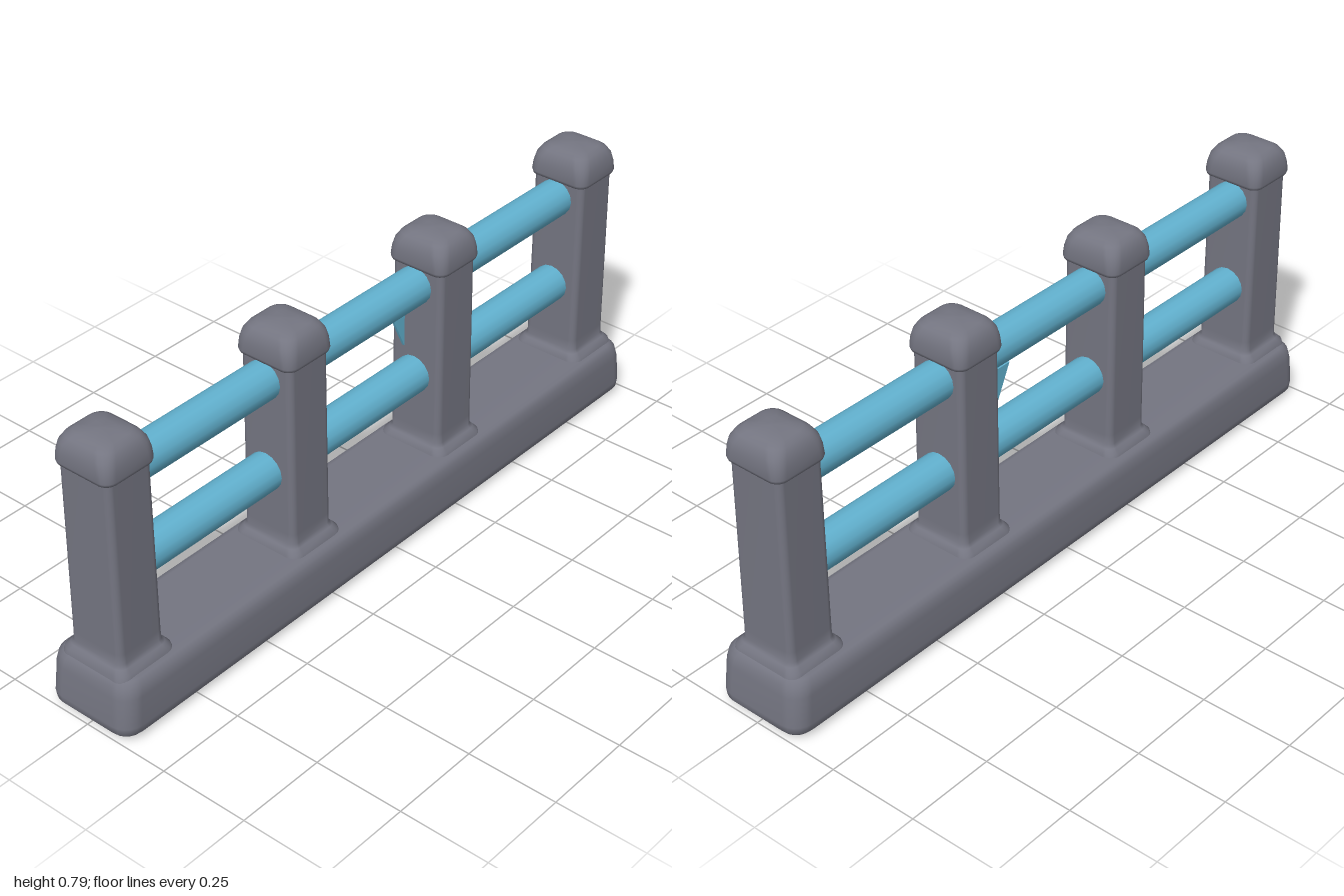
import * as THREE from 'three';

// Smooth loft through rounded rectangles; each ring is [y, halfX, halfZ, cornerRadius]
function loft(rings, cornerSteps = 5) {
  const pos = [], index = [];
  const n = 4 * (cornerSteps + 1);
  for (const [y, hx, hz, r] of rings) {
    for (let q = 0; q < 4; q++) {
      const sx = q === 0 || q === 3 ? 1 : -1;
      const sz = q < 2 ? 1 : -1;
      for (let i = 0; i <= cornerSteps; i++) {
        const a = (q + i / cornerSteps) * Math.PI / 2;
        pos.push(sx * (hx - r) + r * Math.cos(a), y, sz * (hz - r) + r * Math.sin(a));
      }
    }
  }
  for (let k = 0; k < rings.length - 1; k++) {
    for (let i = 0; i < n; i++) {
      const a = k * n + i, b = k * n + (i + 1) % n;
      index.push(a, a + n, b, b, a + n, b + n);
    }
  }
  const geo = new THREE.BufferGeometry();
  geo.setAttribute('position', new THREE.Float32BufferAttribute(pos, 3));
  geo.setIndex(index);
  geo.computeVertexNormals();
  return geo;
}

export function createModel() {
  const stone = new THREE.MeshStandardMaterial({ color: 0x747581 });
  stone.name = 'grey stone';
  const blue = new THREE.MeshStandardMaterial({ color: 0x62b2d0 });
  blue.name = 'blue rail';

  const model = new THREE.Group();
  model.name = 'fence';
  const add = (parent, name, geo, mat) => {
    const mesh = new THREE.Mesh(geo, mat);
    mesh.name = name;
    parent.add(mesh);
    return mesh;
  };

  // Long plinth with softened edges, narrowing a little upwards
  add(model, 'base', loft([
    [0, 0.0, 0.86, 0], [0, 0.1, 0.965, 0.03], [0.004, 0.118, 0.985, 0.04],
    [0.02, 0.133, 0.998, 0.05], [0.04, 0.135, 1, 0.05], [0.12, 0.132, 0.992, 0.05],
    [0.148, 0.127, 0.986, 0.05], [0.161, 0.115, 0.975, 0.045],
    [0.165, 0.1, 0.96, 0.03], [0.165, 0.0, 0.86, 0],
  ]), stone);

  // Four posts, each with a flared foot and a domed cap
  const postGeo = loft([
    [0.15, 0.108, 0.094, 0.03], [0.172, 0.103, 0.09, 0.03], [0.183, 0.09, 0.08, 0.025],
    [0.192, 0.083, 0.073, 0.02], [0.22, 0.082, 0.072, 0.018], [0.71, 0.08, 0.07, 0.018],
  ]);
  const capGeo = loft([
    [0.7, 0, 0, 0], [0.699, 0.075, 0.065, 0.02], [0.701, 0.088, 0.079, 0.028],
    [0.71, 0.091, 0.082, 0.03], [0.735, 0.089, 0.081, 0.032], [0.758, 0.084, 0.077, 0.034],
    [0.776, 0.073, 0.066, 0.034], [0.785, 0.058, 0.052, 0.03],
    [0.79, 0.03, 0.028, 0.018], [0.791, 0, 0, 0],
  ]);
  for (const z of [0.885, 0.285, -0.285, -0.882]) {
    const post = new THREE.Group();
    post.name = 'post';
    post.position.z = z;
    model.add(post);
    add(post, 'shaft', postGeo, stone);
    add(post, 'cap', capGeo, stone);
  }

  // Two round rails running through the posts
  for (const [name, y] of [['upperRail', 0.648], ['lowerRail', 0.382]]) {
    const rail = add(model, name, new THREE.CylinderGeometry(0.052, 0.052, 1.72, 16), blue);
    rail.rotation.x = Math.PI / 2;
    rail.position.set(-0.004, y, 0);
  }

  // Small thin gusset below the upper rail
  const web = new THREE.Shape([[0.14, 0.61], [0.225, 0.61], [0.225, 0.43]]
    .map(([u, y]) => new THREE.Vector2(u, y)));
  const gusset = add(model, 'gusset', new THREE.ExtrudeGeometry(web, { depth: 0.008, bevelEnabled: false }), blue);
  gusset.rotation.y = Math.PI / 2;
  gusset.position.x = -0.044;
  return model;
}
